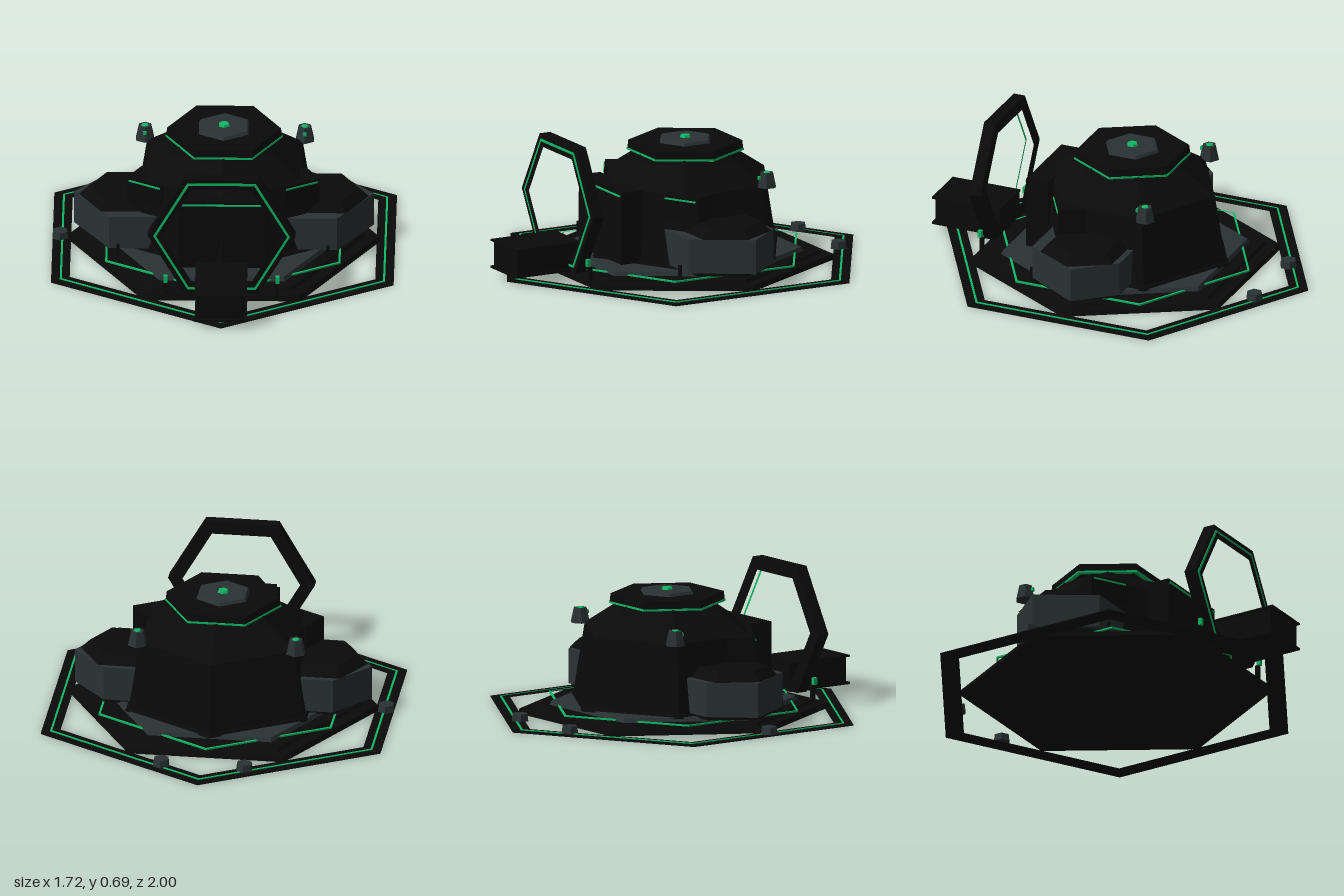
import * as THREE from 'three';

const mat = (name, color) => {
  const m = new THREE.MeshStandardMaterial({ color, flatShading: true });
  m.name = name;
  return m;
};

export function createModel() {
  const model = new THREE.Group();
  const black = mat('black hull', 0x0a0a0a);
  const grey = mat('slate grey', 0x2a3233);
  const green = mat('signal green', 0x0fb865);

  const add = (name, geo, material, x = 0, y = 0, z = 0, ry = 0) => {
    const mesh = new THREE.Mesh(geo, material);
    mesh.name = name;
    mesh.position.set(x, y, z);
    mesh.rotation.y = ry;
    model.add(mesh);
    return mesh;
  };
  const box = (name, w, h, d, m, x, y, z, ry) => add(name, new THREE.BoxGeometry(w, h, d), m, x, y, z, ry);

  // Hexagonal frustum from y0 to y1; corners along z, or along x when turned
  const TURN = Math.PI / 6;
  const hex = (name, rBottom, rTop, y0, y1, m, x = 0, z = 0, turn = 0) =>
    add(name, new THREE.CylinderGeometry(rTop, rBottom, y1 - y0, 6), m, x, (y0 + y1) / 2, z, turn);

  // Hexagonal frame, extruded along z, corners along y
  const corners = (r) => Array.from({ length: 6 }, (_, i) =>
    new THREE.Vector2(r * Math.sin(i * Math.PI / 3), r * Math.cos(i * Math.PI / 3)));
  const frame = (rOut, rIn, depth) => {
    const shape = new THREE.Shape(corners(rOut));
    shape.holes.push(new THREE.Path(corners(rIn)));
    return new THREE.ExtrudeGeometry(shape, { depth, bevelEnabled: false });
  };
  const flatFrame = (name, rOut, rIn, y0, y1, m, z = 0, turn = 0) =>
    add(name, frame(rOut, rIn, y1 - y0).rotateX(-Math.PI / 2), m, 0, y0, z, turn);

  // Ground ring with its light line and marker nodes
  flatFrame('groundRing', 0.99, 0.883, 0, 0.006, black, -0.01);
  flatFrame('groundRingLight', 0.94, 0.928, 0.006, 0.01, green, -0.01);
  for (const [x, z] of [[-0.82, -0.01], [-0.21, -0.8], [0.21, -0.8]])
    hex('ringNode', 0.045, 0.04, 0.008, 0.045, grey, x, z);

  // Stepped platform
  hex('platformBase', 0.785, 0.775, 0.004, 0.03, black, 0, 0, TURN);
  hex('platformStep', 0.71, 0.7, 0.03, 0.045, black, 0, 0, TURN);
  flatFrame('platformLight', 0.68, 0.668, 0.045, 0.053, green);
  hex('foundationPlate', 0.625, 0.615, 0.045, 0.066, grey, 0, 0, TURN);

  // Main dome in tiers
  const DZ = -0.04;
  hex('domeFoot', 0.53, 0.52, 0.06, 0.08, black, 0, DZ);
  hex('domeWall', 0.51, 0.45, 0.08, 0.425, black, 0, DZ);
  hex('domeRoof', 0.45, 0.29, 0.425, 0.53, black, 0, DZ);
  hex('domeNeck', 0.29, 0.25, 0.53, 0.57, black, 0, DZ);
  flatFrame('crownLight', 0.294, 0.27, 0.56, 0.57, green, DZ, TURN);
  hex('crown', 0.29, 0.285, 0.57, 0.61, black, 0, DZ, TURN);
  hex('crownCap', 0.145, 0.135, 0.61, 0.625, grey, 0, DZ);
  hex('beacon', 0.03, 0.025, 0.625, 0.637, green, 0, DZ);

  // Front door panel with lintel light
  box('doorPanel', 0.44, 0.37, 0.12, black, 0, 0.255, 0.385);
  box('doorLight', 0.42, 0.008, 0.008, green, 0, 0.42, 0.448);

  for (const s of [-1, 1]) {
    // Corner buttress with light strip
    box('buttress', 0.2, 0.37, 0.14, black, s * 0.36, 0.245, 0.143, s * TURN);
    box('buttressLight', 0.18, 0.008, 0.008, green, s * 0.394, 0.412, 0.206, s * TURN);

    // Side pod with a pointed outer end
    const plan = [[0.3, 0.255], [0.57, 0.255], [0.75, -0.03], [0.58, -0.225], [0.3, -0.225]];
    const shape = new THREE.Shape(plan.map(([x, z]) => new THREE.Vector2(s * x, -z)));
    const pod = new THREE.ExtrudeGeometry(shape, { depth: 0.175, bevelEnabled: false });
    add('sidePod', pod.rotateX(-Math.PI / 2), grey, 0, 0.08, 0);
    hex('podCap', 0.225, 0.175, 0.255, 0.302, black, s * 0.5, 0, TURN);
    hex('podFoot', 0.24, 0.24, 0.06, 0.08, black, s * 0.46, 0, TURN);

    // Roof sensor
    hex('sensor', 0.052, 0.035, 0.425, 0.5, grey, s * 0.4, -0.285);
    hex('sensorLens', 0.02, 0.016, 0.5, 0.504, green, s * 0.4, -0.285);
    box('sensorLight', 0.018, 0.018, 0.01, green, s * 0.4, 0.475, -0.242);

    // Bollards beside the gate and on the platform
    box('gateBollard', 0.02, 0.07, 0.02, black, s * 0.28, 0.065, 0.66);
    box('gateBollardLight', 0.02, 0.036, 0.02, green, s * 0.28, 0.12, 0.67);
    box('platformBollard', 0.014, 0.06, 0.014, black, s * 0.525, 0.085, 0.28);
  }

  // Upright hexagonal gate
  const gate = add('gate', frame(0.37, 0.297, 0.06), black, 0, 0.37, 0.63);
  gate.rotation.z = TURN;
  const gateLight = add('gateLight', frame(0.342, 0.328, 0.005), green, 0, 0.37, 0.689);
  gateLight.rotation.z = TURN;

  // Entry block leading to the gate
  box('entrySill', 0.26, 0.012, 0.37, black, 0, 0.052, 0.815);
  box('entryBlock', 0.24, 0.13, 0.355, black, 0, 0.12, 0.808);
  box('entryRoof', 0.26, 0.01, 0.37, black, 0, 0.19, 0.815);

  return model;
}
